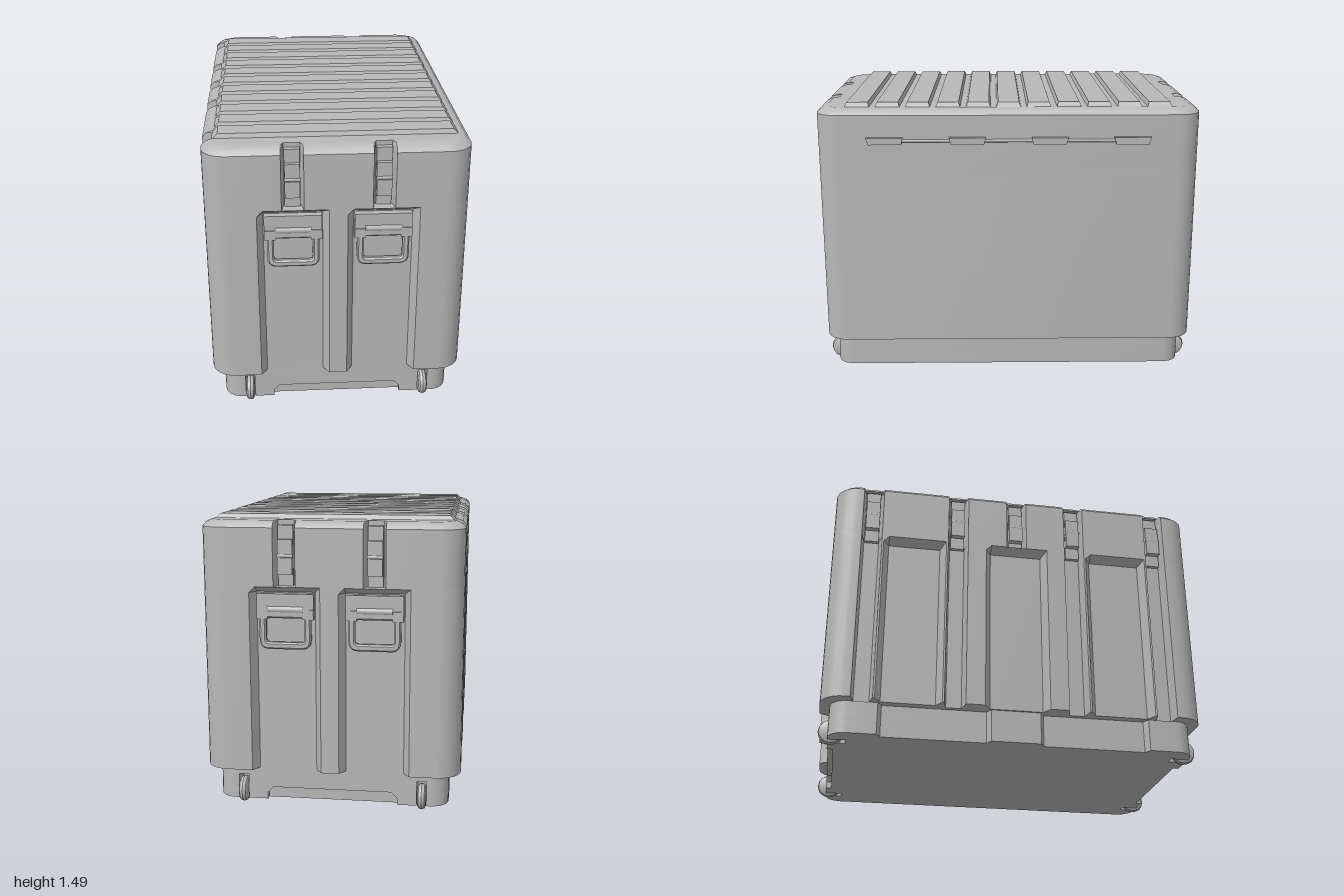
import * as THREE from 'three';
import { toCreasedNormals } from 'three/addons/utils/BufferGeometryUtils.js';

const grey = new THREE.MeshStandardMaterial({ color: 0xb8b8b8 });
grey.name = 'caseGrey';

const CX = -0.0125;                 // middle of the end walls
const PAIR = [-0.2225, 0.2225];     // offsets of the paired latches and handles
const SIDE_LATCH = [0.795, 0.325, 0, -0.325, -0.795];
const HZ = 1, X0 = -0.67, X1 = 0.64;

function mesh(name, geo, x = 0, y = 0, z = 0) {
  const m = new THREE.Mesh(geo, grey);
  m.name = name;
  m.position.set(x, y, z);
  return m;
}
const box = (name, w, h, d, x, y, z) => mesh(name, new THREE.BoxGeometry(w, h, d), x, y, z);

// Rounded plan outline (x, -z), anticlockwise.
// Cuts are [centre, outer half width, inner half width, depth].
function plan(x0, x1, hz, r, endCuts = [], leftCuts = []) {
  const p = [];
  const add = (x, v) => p.push(new THREE.Vector2(x, v));
  const corner = (cx, cy, a0) => {
    for (let i = 0; i <= 6; i++) {
      const a = a0 + (i / 6) * Math.PI / 2;
      add(cx + r * Math.cos(a), cy + r * Math.sin(a));
    }
  };
  const edge = (c, o, i, d, f) => { f(c - o, 0); f(c - i, d); f(c + i, d); f(c + o, 0); };
  corner(x0 + r, -hz + r, Math.PI);
  for (const [c, o, i, d] of endCuts) edge(c, o, i, d, (t, k) => add(t, -hz + k));
  corner(x1 - r, -hz + r, -Math.PI / 2);
  corner(x1 - r, hz - r, 0);
  for (const [c, o, i, d] of [...endCuts].reverse()) edge(-c, o, i, d, (t, k) => add(-t, hz - k));
  corner(x0 + r, hz - r, Math.PI / 2);
  for (const [c, o, i, d] of leftCuts) edge(-c, o, i, d, (t, k) => add(x0 + k, -t));
  return p;
}

// Solid through outlines stacked in height: levels are [outline, y].
function loft(levels) {
  const pos = [];
  const put = (p, y) => pos.push(p.x, y, -p.y);
  for (let l = 0; l + 1 < levels.length; l++) {
    const [a, ya] = levels[l], [b, yb] = levels[l + 1];
    for (let i = 0; i < a.length; i++) {
      const j = (i + 1) % a.length;
      put(a[i], ya); put(a[j], ya); put(b[j], yb);
      put(a[i], ya); put(b[j], yb); put(b[i], yb);
    }
  }
  const [bot, y0] = levels[0], [top, y1] = levels[levels.length - 1];
  for (const [i, j, k] of THREE.ShapeUtils.triangulateShape(bot, [])) {
    put(bot[i], y0); put(bot[k], y0); put(bot[j], y0);
  }
  for (const [i, j, k] of THREE.ShapeUtils.triangulateShape(top, [])) {
    put(top[i], y1); put(top[j], y1); put(top[k], y1);
  }
  const g = new THREE.BufferGeometry();
  g.setAttribute('position', new THREE.Float32BufferAttribute(pos, 3));
  return toCreasedNormals(g, 0.5);
}

const rect = (hx, hz) => [[-hx, -hz], [hx, -hz], [hx, hz], [-hx, hz]].map(([x, v]) => new THREE.Vector2(x, v));

// Lower body with handle bays, side panels and full-height latch grooves
function lowerPlan(depth) {
  const side = [];
  for (const c of [0.795, 0.56, 0.325, 0, -0.325, -0.56, -0.795]) {
    const panel = c === 0 || Math.abs(c) === 0.56;
    side.push(panel ? [c, 0.17, 0.14, depth] : [c, 0.055, 0.04, 0.07]);
  }
  return plan(X0, X1, HZ, 0.12, PAIR.map(o => [CX + o, 0.177, 0.147, depth]), side);
}

// Upper body and lid rim with latch notches only
function upperPlan(inset) {
  return plan(X0 + inset, X1 - inset, HZ - inset, 0.12 - inset * 0.5,
    PAIR.map(o => [CX + o, 0.055, 0.04, 0.08 - inset]),
    SIDE_LATCH.map(c => [c, 0.055, 0.04, 0.09 - inset]));
}

// Base with end hand cut-outs (half width hand), caster slots and inset side
function basePlan(hand, slot) {
  const cuts = [];
  if (slot) cuts.push([-0.475, 0.025, 0.025, 0.09]);
  if (hand) cuts.push([-0.015, hand, hand, 0.03]);
  if (slot) cuts.push([0.445, 0.025, 0.025, 0.09]);
  return plan(-0.61, 0.58, 0.95, 0.09, cuts, [[0.42, 0.29, 0.27, 0.035], [-0.42, 0.29, 0.27, 0.035]]);
}

// Latch facing +z, with z = 0 at the outer wall
function makeLatch() {
  const g = new THREE.Group();
  g.name = 'latch';
  g.add(box('latchPlate', 0.076, 0.31, 0.03, 0, 1.285, -0.065));
  g.add(box('latchLever', 0.074, 0.085, 0.04, 0, 1.24, -0.04));
  g.add(box('latchCatch', 0.074, 0.075, 0.035, 0, 1.333, -0.045));
  const pin = mesh('latchPin', new THREE.CylinderGeometry(0.012, 0.012, 0.078, 10), 0, 1.29, -0.035);
  pin.rotation.z = Math.PI / 2;
  g.add(pin);
  return g;
}

function roundedRect(path, hw, y0, y1, r) {
  path.moveTo(-hw, y1);
  path.lineTo(-hw, y0 + r);
  path.quadraticCurveTo(-hw, y0, -hw + r, y0);
  path.lineTo(hw - r, y0);
  path.quadraticCurveTo(hw, y0, hw, y0 + r);
  path.lineTo(hw, y1);
  path.closePath();
  return path;
}

// Folding carry handle facing +z, with z = 0 at the bay floor
function makeHandle() {
  const g = new THREE.Group();
  g.name = 'carryHandle';
  g.add(box('handleBracket', 0.285, 0.085, 0.035, 0, 1.062, 0.0175));
  for (const s of [-1, 1]) g.add(box('bracketEar', 0.055, 0.05, 0.04, s * 0.115, 1.002, 0.02));
  const roll = mesh('handlePivot', new THREE.CylinderGeometry(0.02, 0.02, 0.178, 12), 0, 1.025, 0.024);
  roll.rotation.z = Math.PI / 2;
  g.add(roll);
  const shape = roundedRect(new THREE.Shape(), 0.122, 0.833, 1.02, 0.04);
  shape.holes.push(roundedRect(new THREE.Path(), 0.104, 0.852, 0.99, 0.025));
  g.add(mesh('handleBail', new THREE.ExtrudeGeometry(shape, {
    depth: 0.016, bevelEnabled: true, bevelSize: 0.008, bevelThickness: 0.008, bevelSegments: 1, curveSegments: 5,
  }), 0, 0, 0.016));
  return g;
}

export function createModel() {
  const model = new THREE.Group();
  model.name = 'transitCase';

  // Base
  model.add(mesh('baseLower', loft([[basePlan(0.335, true), 0.02], [basePlan(0.335, true), 0.055], [basePlan(0.305, true), 0.085]])));
  model.add(mesh('baseMiddle', loft([[basePlan(0, true), 0.085], [basePlan(0, true), 0.15]])));
  model.add(mesh('baseUpper', loft([[basePlan(0, false), 0.15], [basePlan(0, false), 0.19]])));

  // Body and lid
  model.add(mesh('lowerBody', loft([[lowerPlan(0.05), 0.19], [lowerPlan(0.05), 1.11], [lowerPlan(0), 1.14]])));
  model.add(mesh('lid', loft([[upperPlan(0), 1.14], [upperPlan(0), 1.43], [upperPlan(0.02), 1.452], [upperPlan(0.05), 1.463]])));

  // Raised ribs across the lid
  const rib = loft([[rect(0.605, 0.066), 1.455], [rect(0.575, 0.055), 1.485]]);
  for (let i = 0; i < 11; i++) model.add(mesh('lidRib', rib, -0.015, 0, (i - 5) * 0.157));

  // Latches, handles and casters on both ends
  const profile = [[0, -0.022], [0.05, -0.022], [0.062, -0.015], [0.067, 0], [0.062, 0.015], [0.05, 0.022], [0, 0.022]];
  const wheelGeo = toCreasedNormals(new THREE.LatheGeometry(profile.map(([x, y]) => new THREE.Vector2(x, y)), 16), 0.6);
  for (const s of [1, -1]) {
    const turn = s > 0 ? 0 : Math.PI;
    for (const o of PAIR) {
      const latch = makeLatch(), handle = makeHandle();
      latch.position.set(CX + o, 0, s * HZ);
      handle.position.set(CX + o, 0, s * 0.95);
      latch.rotation.y = handle.rotation.y = turn;
      model.add(latch, handle);
    }
    for (const x of [-0.475, 0.445]) {
      const wheel = mesh('casterWheel', wheelGeo, x, 0.067, s * 0.933);
      wheel.rotation.z = Math.PI / 2;
      model.add(wheel);
    }
  }

  // Latches along the opening side
  for (const c of SIDE_LATCH) {
    const latch = makeLatch();
    latch.position.set(X0, 0, -c);
    latch.rotation.y = -Math.PI / 2;
    model.add(latch);
  }

  // Hinge: slanted leaves joined by a thin rod
  const leaf = new THREE.Shape([[-0.095, 0.018], [-0.085, -0.018], [0.085, -0.018], [0.095, 0.018]].map(([x, y]) => new THREE.Vector2(x, y)));
  const leafGeo = new THREE.ExtrudeGeometry(leaf, { depth: 0.022, bevelEnabled: false });
  for (const z of [-0.64, -0.213, 0.213, 0.64]) {
    const m = mesh('hingeLeaf', leafGeo, X1, 1.298, z);
    m.rotation.y = Math.PI / 2;
    model.add(m);
  }
  const rod = mesh('hingeRod', new THREE.CylinderGeometry(0.008, 0.008, 1.4, 8), X1 + 0.006, 1.298, 0);
  rod.rotation.x = Math.PI / 2;
  model.add(rod);

  return model;
}
